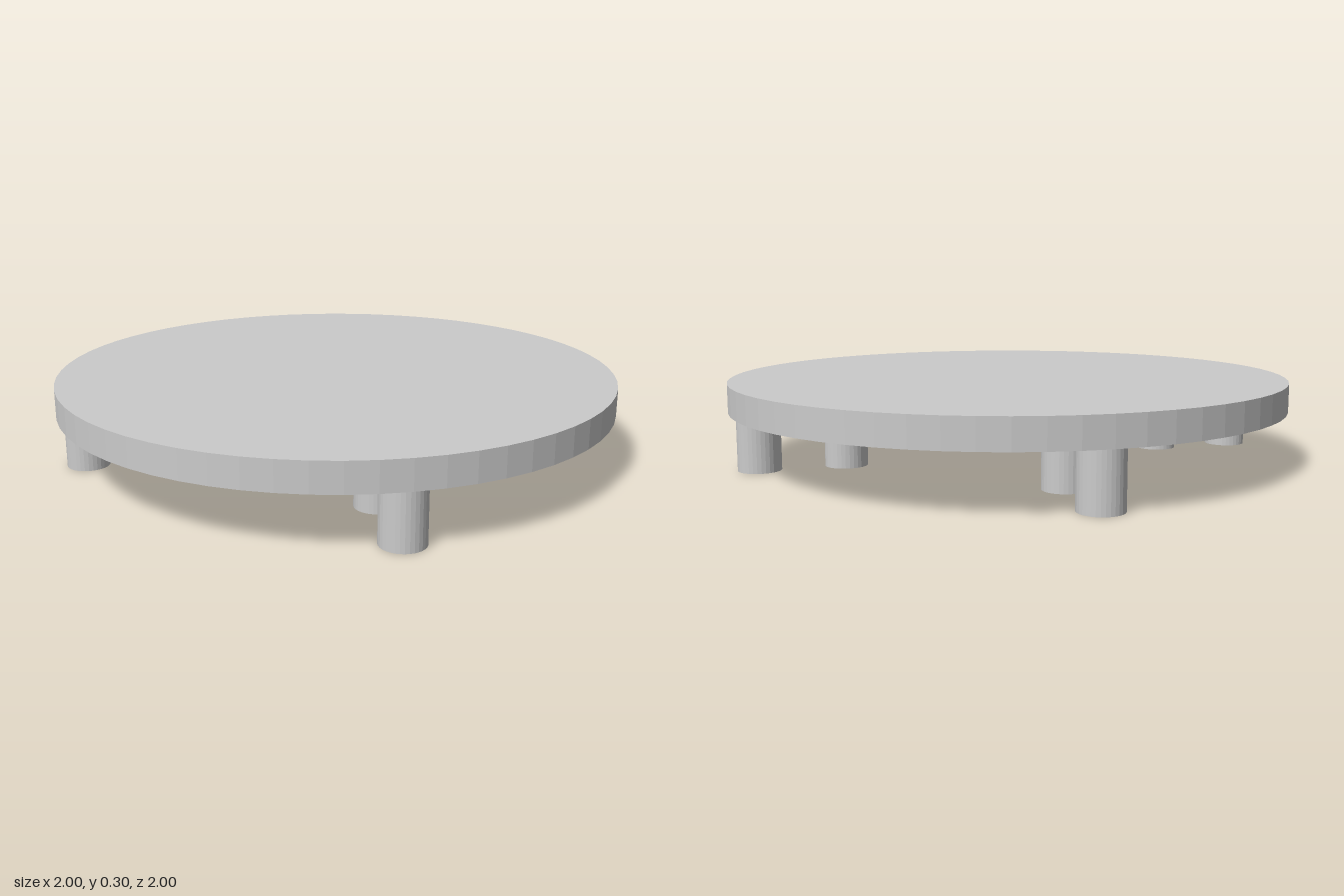
import * as THREE from 'three';

const PLATE_BOTTOM = 0.2, PLATE_TOP = 0.3;
const PEG_OUTER = 0.075, PEG_INNER = 0.061;

export function createModel() {
  const model = new THREE.Group();
  model.name = 'roundPlateWithPegs';
  const material = new THREE.MeshStandardMaterial({ color: 0xcccccc, flatShading: true });

  // Round plate
  const thickness = PLATE_TOP - PLATE_BOTTOM;
  const plate = new THREE.Mesh(new THREE.CylinderGeometry(1, 1, thickness, 64), material);
  plate.name = 'plate';
  plate.position.y = PLATE_BOTTOM + thickness / 2;
  model.add(plate);

  // Hollow peg: outer wall, bottom rim and bore, open towards the floor
  const profile = [
    [PEG_INNER, PLATE_BOTTOM],
    [PEG_INNER, 0],
    [PEG_OUTER, 0],
    [PEG_OUTER, PLATE_BOTTOM],
  ].map(([r, y]) => new THREE.Vector2(r, y));
  const pegGeometry = new THREE.LatheGeometry(profile, 32);

  // Inner and outer peg on each of the four diagonals
  for (let i = 0; i < 4; i++) {
    const angle = Math.PI / 4 + (i * Math.PI) / 2;
    for (const [name, radius] of [['innerPeg', 0.6], ['outerPeg', 0.9]]) {
      const peg = new THREE.Mesh(pegGeometry, material);
      peg.name = name + (i + 1);
      peg.position.set(radius * Math.cos(angle), 0, radius * Math.sin(angle));
      model.add(peg);
    }
  }
  return model;
}
